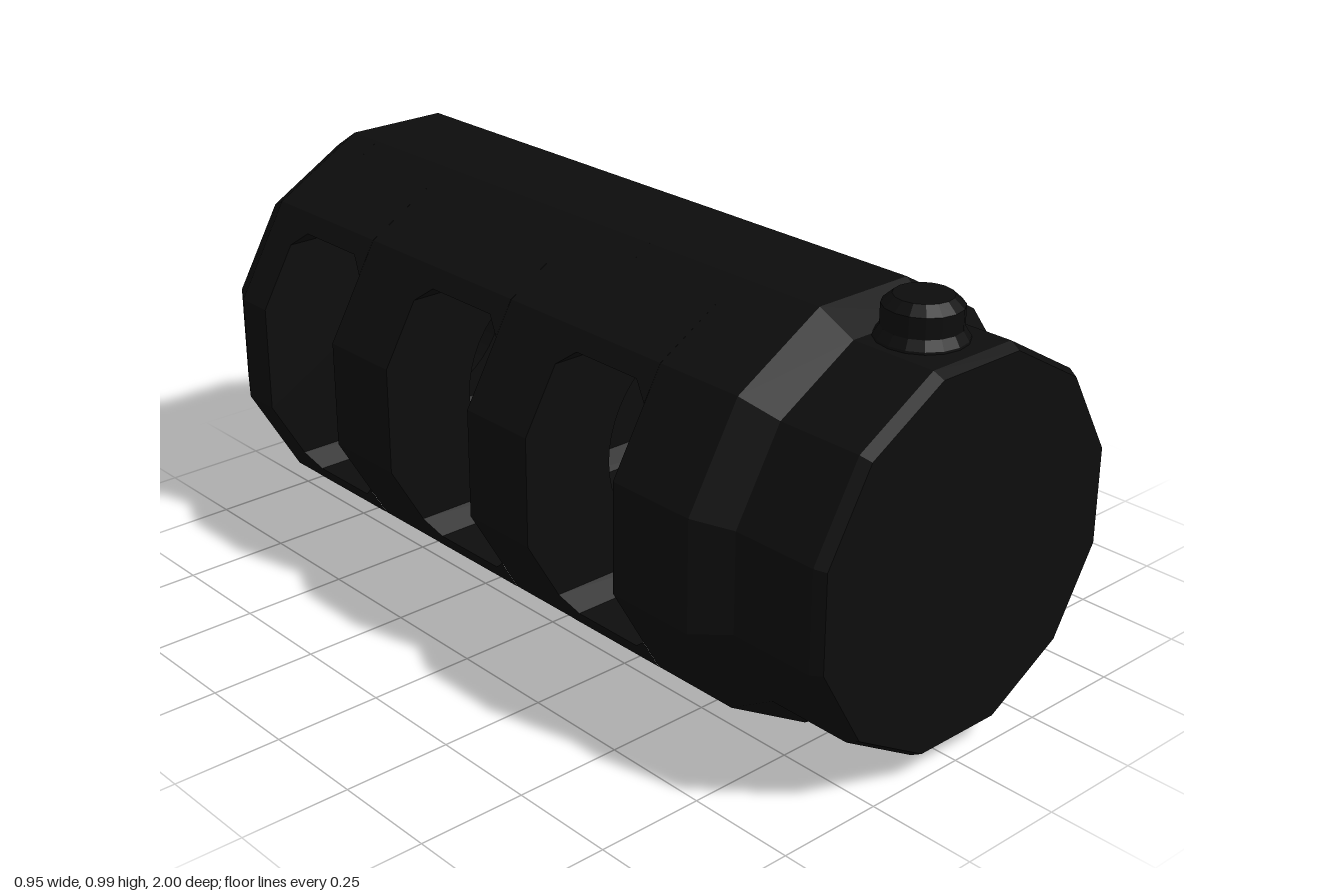
import * as THREE from 'three';

const A = 0.475;                       // half width across the flats of the body
const AXIS_Y = 0.475;                  // height of the bore axis
const BORE = 0.245;
const toR = (apothem) => apothem / Math.cos(Math.PI / 12);
const SLOTS = [[-0.785, -0.505], [-0.295, -0.002], [0.195, 0.47]]; // z ranges

const black = new THREE.MeshStandardMaterial({ color: 0x0d0d0d });
black.name = 'matte black';

function flat(geo) {
  const g = geo.index ? geo.toNonIndexed() : geo;
  g.computeVertexNormals();
  return g;
}

// Twelve-sided outline with a round bore
function ringShape(apothem) {
  const pts = [];
  for (let i = 0; i < 12; i++) {
    const a = (i + 0.5) * Math.PI / 6;
    pts.push(new THREE.Vector2(Math.cos(a) * toR(apothem), Math.sin(a) * toR(apothem)));
  }
  const shape = new THREE.Shape(pts);
  shape.holes.push(new THREE.Path().absarc(0, 0, BORE, 0, Math.PI * 2, true));
  return shape;
}

function ringBlock(z0, z1) {
  const g = new THREE.ExtrudeGeometry(ringShape(A), { depth: z1 - z0, bevelEnabled: false, curveSegments: 24 });
  return g.translate(0, 0, z0);
}

// Twelve-sided surface along z, from [apothem, z] pairs
function dodecagonLathe(profile) {
  const pts = profile.map(([a, z]) => new THREE.Vector2(toR(a), z));
  return flat(new THREE.LatheGeometry(pts, 12, Math.PI / 12).rotateX(Math.PI / 2));
}

// Bridge above a slot: the cut height varies along z to chamfer the slot corners
function bridge(z0, z1) {
  const sections = [[z0, 0.272], [z0 + 0.045, 0.307], [z1 - 0.045, 0.307], [z1, 0.272]].map(([z, h]) => {
    const xc = 0.348 + (0.348 - h) * 0.577;
    return [[-xc, h], [-0.348, 0.348], [-0.127, A], [0.127, A], [0.348, 0.348], [xc, h]]
      .map(([x, y]) => [x, y, z]);
  });
  const pos = [];
  for (let s = 0; s < sections.length - 1; s++) {
    for (let i = 0; i < 6; i++) {
      const j = (i + 1) % 6;
      const a = sections[s][i], b = sections[s][j];
      const c = sections[s + 1][j], d = sections[s + 1][i];
      pos.push(...a, ...d, ...c, ...a, ...c, ...b);
    }
  }
  const g = new THREE.BufferGeometry();
  g.setAttribute('position', new THREE.Float32BufferAttribute(pos, 3));
  g.computeVertexNormals();
  return g;
}

export function createModel() {
  const model = new THREE.Group();
  const body = new THREE.Group();
  body.name = 'body';
  body.position.y = AXIS_Y;
  model.add(body);
  const add = (name, geo, parent = body) => {
    const m = new THREE.Mesh(geo, black);
    m.name = name;
    parent.add(m);
    return m;
  };

  // Solid rings between the side slots
  const edges = [-0.88, ...SLOTS.flat(), 0.69];
  for (let i = 0; i < edges.length; i += 2) add('baffle', ringBlock(edges[i], edges[i + 1]));

  // Bridges joining the rings above and below each slot
  for (const [z0, z1] of SLOTS) {
    const g = bridge(z0, z1);
    add('upperBridge', g);
    add('lowerBridge', g).rotation.z = Math.PI;
  }

  // Closed front collar, with a disc that ends the bore
  add('frontCollar', dodecagonLathe([
    [0, 0.68], [A - 0.01, 0.68], [A, 0.69], [0.425, 0.77], [0.425, 0.975], [0.412, 1], [0, 1],
  ]));

  // Chamfered rear end with its bore
  add('rearChamfer', dodecagonLathe([[0.38, -1], [0.42, -0.975], [A, -0.88]]));
  add('rearFace', new THREE.ShapeGeometry(ringShape(0.38), 24).rotateY(Math.PI).translate(0, 0, -1));
  const bore = new THREE.CylinderGeometry(BORE, BORE, 0.12, 48, 1, true)
    .rotateX(Math.PI / 2).translate(0, 0, -0.94);
  bore.setIndex([...bore.index.array].reverse());   // faces inward
  const n = bore.attributes.normal;
  for (let i = 0; i < n.count; i++) n.setXYZ(i, -n.getX(i), -n.getY(i), -n.getZ(i));
  add('rearBore', bore);

  // Locking button on the collar
  const pin = [[0.1, 0.88], [0.097, 0.905], [0.084, 0.925], [0.084, 0.97], [0.062, 0.99], [0, 0.99]]
    .map(([r, y]) => new THREE.Vector2(r, y));
  add('lockButton', flat(new THREE.LatheGeometry(pin, 16)), model).position.z = 0.845;

  return model;
}
